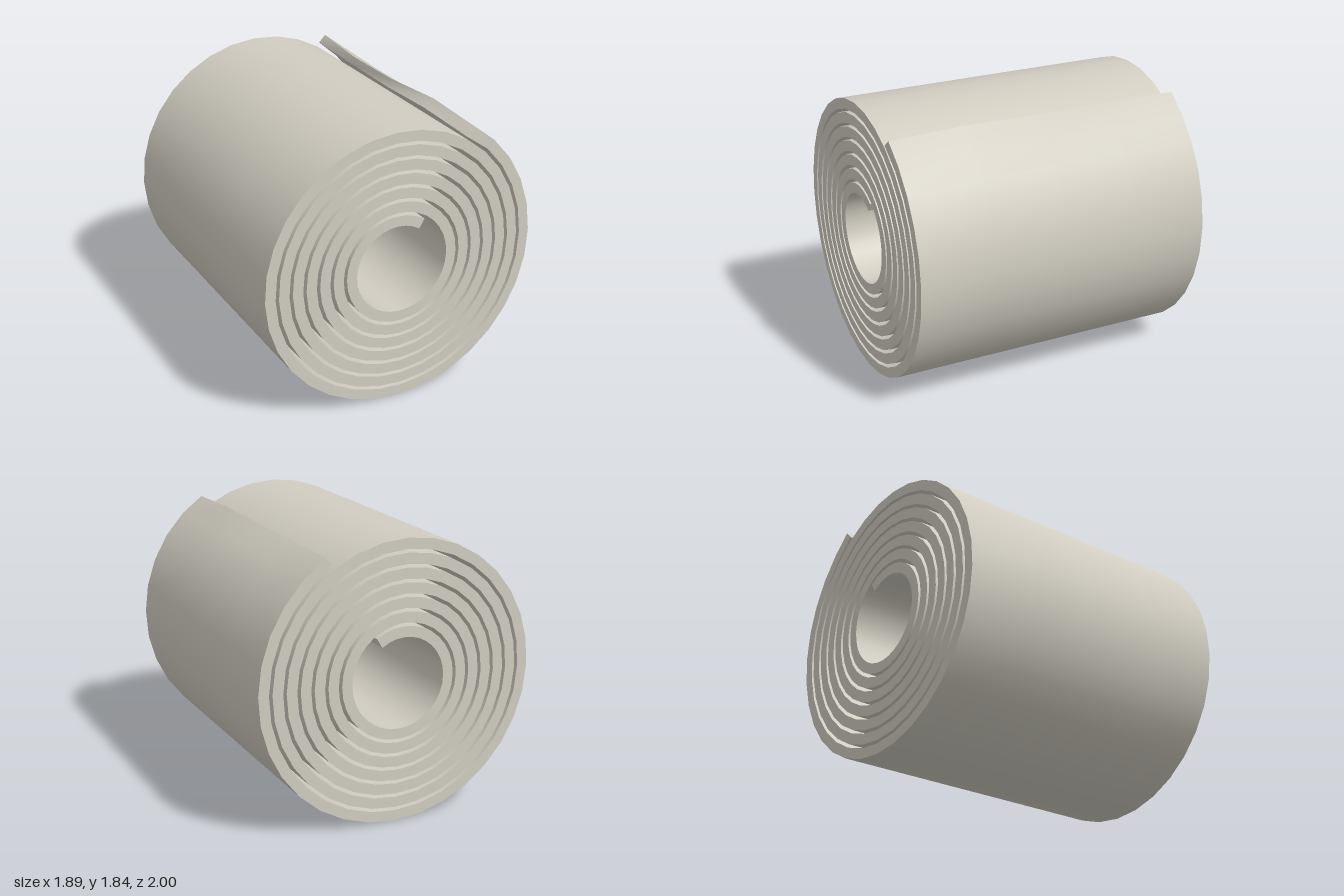
import * as THREE from 'three';

const TURNS = 7, SIDES = 32, SEGMENTS = TURNS * SIDES;
const START = THREE.MathUtils.degToRad(58.5);
const CX = -0.023, CY = 0.948;
const INNER_RADIUS = 0.266, PITCH = 0.0925, THICKNESS = 0.07;
const DEPTHS = [-1, -0.5, 0, 0.5, 1];

// loose free edge, one entry per depth: inner x, y, then outer x, y
const FREE_EDGE = [
  [0.457, 1.735, 0.505, 1.787],
  [0.468, 1.715, 0.474, 1.775],
  [0.455, 1.72, 0.48, 1.775],
  [0.437, 1.745, 0.505, 1.797],
  [0.437, 1.728, 0.5, 1.778],
];

// point on the sheet: step along the spiral, depth index, side 0 inner or 1 outer
function sheetPoint(i, k, side) {
  if (i === SEGMENTS) {
    const e = FREE_EDGE[k];
    return [e[side * 2], e[side * 2 + 1], DEPTHS[k]];
  }
  const a = START + (i / SIDES) * Math.PI * 2;
  const r = INNER_RADIUS + (PITCH * i) / SIDES + side * THICKNESS;
  return [CX + r * Math.cos(a), CY + r * Math.sin(a), DEPTHS[k]];
}

// smooth grid of nu by nv cells, facing along du x dv
function gridSurface(nu, nv, pointAt) {
  const positions = [], indices = [];
  for (let v = 0; v <= nv; v++) {
    for (let u = 0; u <= nu; u++) positions.push(...pointAt(u, v));
  }
  const row = nu + 1;
  for (let v = 0; v < nv; v++) {
    for (let u = 0; u < nu; u++) {
      const a = v * row + u;
      indices.push(a, a + 1, a + row, a + 1, a + row + 1, a + row);
    }
  }
  const geometry = new THREE.BufferGeometry();
  geometry.setAttribute('position', new THREE.Float32BufferAttribute(positions, 3));
  geometry.setIndex(indices);
  geometry.computeVertexNormals();
  return geometry;
}

export function createModel() {
  const group = new THREE.Group();
  group.name = 'rolledSheet';
  const material = new THREE.MeshStandardMaterial({ color: 0xd0ccc0 });
  material.name = 'warm grey';
  const last = DEPTHS.length - 1;

  const add = (name, nu, nv, pointAt) => {
    const mesh = new THREE.Mesh(gridSurface(nu, nv, pointAt), material);
    mesh.name = name;
    group.add(mesh);
  };

  // broad faces of the wound sheet
  add('sheetOuterFace', SEGMENTS, last, (u, v) => sheetPoint(u, v, 1));
  add('sheetInnerFace', SEGMENTS, last, (u, v) => sheetPoint(u, last - v, 0));
  // spiral edges at front and back
  add('frontSpiralEdge', SEGMENTS, 1, (u, v) => sheetPoint(u, last, 1 - v));
  add('backSpiralEdge', SEGMENTS, 1, (u, v) => sheetPoint(u, 0, v));
  // cut ends of the sheet
  add('coreEnd', 1, last, (u, v) => sheetPoint(0, v, u));
  add('looseEnd', 1, last, (u, v) => sheetPoint(SEGMENTS, v, 1 - u));

  return group;
}
